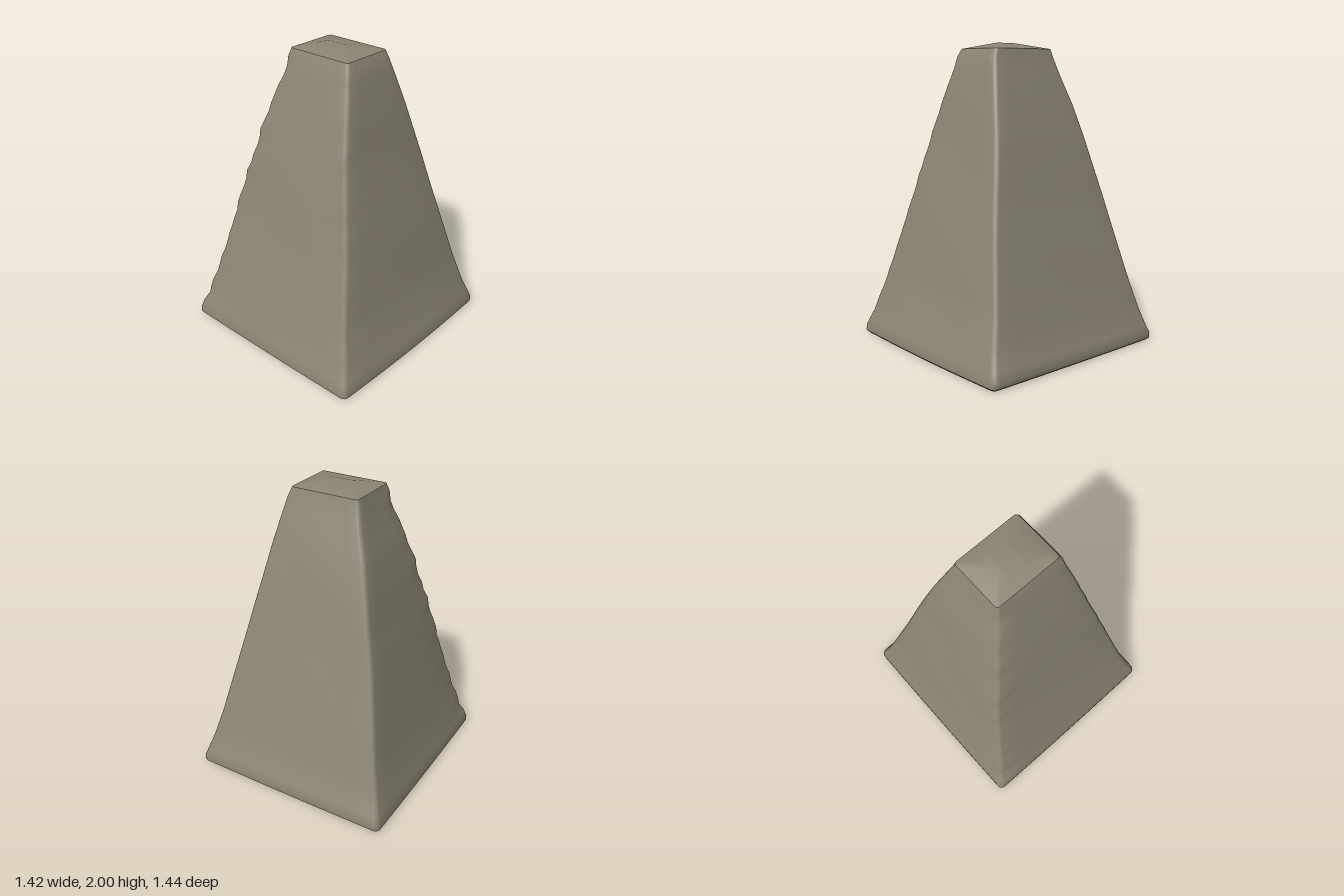
import * as THREE from 'three';
import { toCreasedNormals } from 'three/addons/utils/BufferGeometryUtils.js';

// Sections: y, left edge, right edge, back edge, front edge, corner radius
const PROFILE = [
  [0, -0.69, 0.69, -0.70, 0.70, 0.03],
  [0.012, -0.705, 0.70, -0.715, 0.715, 0.035],
  [0.045, -0.705, 0.70, -0.72, 0.715, 0.04],
  [0.2, -0.66, 0.65, -0.66, 0.66, 0.035],
  [0.4, -0.61, 0.595, -0.605, 0.60, 0.03],
  [0.8, -0.53, 0.51, -0.50, 0.49, 0.03],
  [1.0, -0.49, 0.465, -0.45, 0.44, 0.03],
  [1.2, -0.44, 0.42, -0.405, 0.395, 0.03],
  [1.4, -0.395, 0.375, -0.355, 0.345, 0.03],
  [1.6, -0.345, 0.335, -0.30, 0.29, 0.03],
  [1.8, -0.28, 0.29, -0.24, 0.23, 0.03],
  [1.91, -0.25, 0.262, -0.205, 0.195, 0.025],
  [1.96, -0.235, 0.238, -0.193, 0.175, 0.02],
];
const SIDE = 8, ARC = 4;

// Profile values at height y
function sectionAt(y) {
  const k = Math.max(1, PROFILE.findIndex((p) => p[0] >= y));
  const a = PROFILE[k - 1], b = PROFILE[k];
  const t = (y - a[0]) / (b[0] - a[0]);
  return a.map((v, i) => v + (b[i] - v) * t);
}

// Rounded rectangle, counter-clockwise seen from above
function ring([y, xl, xr, zb, zf, r], chip) {
  const corners = [[xr - r, zb + r, 0], [xl + r, zb + r, 1], [xl + r, zf - r, 2], [xr - r, zf - r, 3]];
  const arcs = corners.map(([cx, cz, q]) => {
    const cut = q === 2 ? chip : q === 3 ? chip * 0.35 : 0;
    return Array.from({ length: ARC + 1 }, (_, i) => {
      const a = (q + i / ARC) * Math.PI / 2;
      return [cx + r * Math.cos(a) - Math.sign(cx) * cut, cz - r * Math.sin(a) - Math.sign(cz) * cut];
    });
  });
  const pts = [];
  arcs.forEach((arc, q) => {
    pts.push(...arc);
    const from = arc[ARC], to = arcs[(q + 1) % 4][0];
    const straight = [[0, zb], [xl, 0], [0, zf], [xr, 0]][q];
    for (let i = 1; i < SIDE; i++) {
      const t = i / SIDE;
      const p = [from[0] + (to[0] - from[0]) * t, from[1] + (to[1] - from[1]) * t];
      // keep faces straight between chipped corners, with a faint bow and weathering
      const axis = q % 2 ? 0 : 1;
      p[axis] = straight[axis];
      const out = Math.sign(straight[axis]);
      const bow = (q === 3 ? 0.014 : 0.004) * Math.sin(Math.PI * t) * (1 - y / 1.96);
      const wear = 0.005 * Math.sin(y * 7 + t * 5 + q * 2) * Math.sin(Math.PI * t) * Math.sin(Math.PI * y / 1.96);
      p[axis] += out * (bow + wear);
      pts.push(p);
    }
  });
  return pts.map(([x, z]) => [x, y, z]);
}

// Joins rings from bottom to top into one surface
function loft(rings, closeBottom) {
  const n = rings[0].length, pos = rings.flat(2), index = [];
  for (let j = 0; j < rings.length - 1; j++) {
    for (let i = 0; i < n; i++) {
      const a = j * n + i, b = j * n + (i + 1) % n;
      index.push(a, b, b + n, a, b + n, a + n);
    }
  }
  if (closeBottom) {
    const c = pos.length / 3;
    pos.push(0, 0, 0);
    for (let i = 0; i < n; i++) index.push((i + 1) % n, i, c);
  }
  const g = new THREE.BufferGeometry();
  g.setAttribute('position', new THREE.Float32BufferAttribute(pos, 3));
  g.setIndex(index);
  return toCreasedNormals(g, 0.6);
}

export function createModel() {
  const group = new THREE.Group();
  group.name = 'stoneBlock';
  const stone = new THREE.MeshStandardMaterial({ color: 0x8b8573 });
  stone.name = 'weathered stone';

  let seed = 7;
  const rand = () => (seed = (seed * 16807) % 2147483647) / 2147483647;

  // Tapered body with small chips along the front edges
  const heights = [0, 0.012, 0.045];
  for (let y = 0.1; y < 1.88; y += 0.06) heights.push(y);
  heights.push(1.91, 1.96);
  const rings = heights.map((y) => ring(sectionAt(y), y > 0.05 && y < 1.85 ? rand() * 0.014 : 0));
  const body = new THREE.Mesh(loft(rings, true), stone);
  body.name = 'taperedBody';
  group.add(body);

  // Low hipped cap rising to a short ridge
  const rim = rings[rings.length - 1];
  const ridge = rim.map(([x]) => [THREE.MathUtils.clamp(x, -0.07, 0.07), 2, 0]);
  const cap = new THREE.Mesh(loft([rim, ridge], false), stone);
  cap.name = 'hippedCap';
  group.add(cap);

  return group;
}
